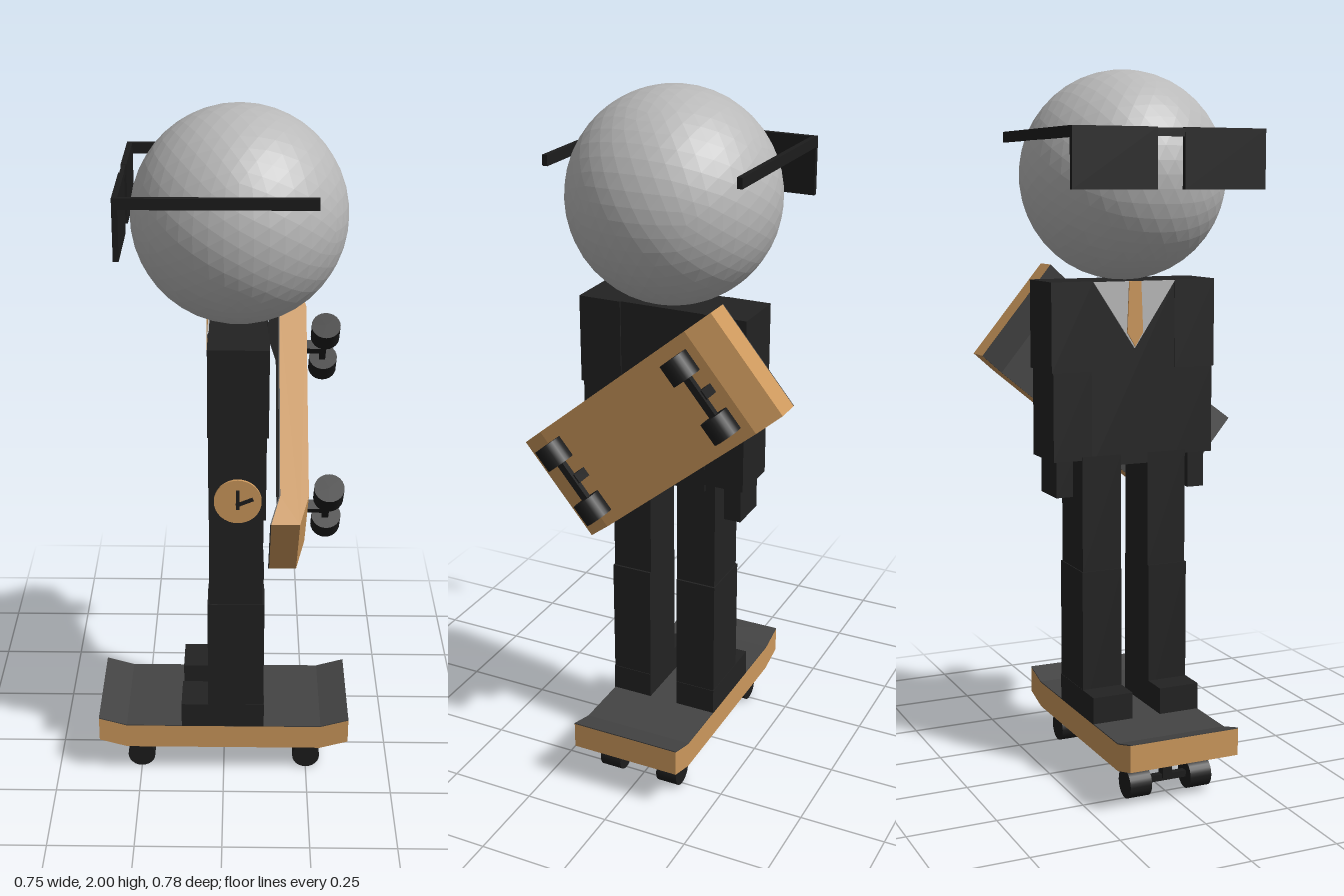
import * as THREE from 'three';

const mat = (name, color) => {
  const m = new THREE.MeshStandardMaterial({ color });
  m.name = name;
  return m;
};

export function createModel() {
  const suit = mat('suit black', 0x222222);
  const black = mat('trim black', 0x1c1c1c);
  const wood = mat('wood tan', 0xcc985c);
  const grip = mat('grip grey', 0x444444);
  const pale = mat('pale grey', 0xb9b9b9);
  pale.flatShading = true;

  const model = new THREE.Group();
  model.name = 'skater';

  const add = (parent, name, geometry, material) => {
    const mesh = new THREE.Mesh(geometry, material);
    mesh.name = name;
    parent.add(mesh);
    return mesh;
  };
  // Box given by its limits on each axis
  const box = (parent, name, material, [x0, x1], [y0, y1], [z0, z1]) => {
    const g = new THREE.BoxGeometry(x1 - x0, y1 - y0, Math.abs(z1 - z0));
    g.translate((x0 + x1) / 2, (y0 + y1) / 2, (z0 + z1) / 2);
    return add(parent, name, g, material);
  };
  const extrude = (points, depth) => {
    const shape = new THREE.Shape(points.map(([x, y]) => new THREE.Vector2(x, y)));
    return new THREE.ExtrudeGeometry(shape, { depth, bevelEnabled: false });
  };

  // Skateboard with kicked ends, long axis on x, wheels down
  const makeBoard = (name) => {
    const board = new THREE.Group();
    board.name = name;
    const top = [[0.373, 0.2], [0.29, 0.176], [-0.29, 0.176], [-0.373, 0.2]];
    const bottom = [[-0.373, 0.124], [-0.29, 0.1], [0.29, 0.1], [0.373, 0.124]];
    add(board, 'deck', extrude([...top, ...bottom], 0.326).translate(0, 0, -0.163), wood);
    const lifted = top.map(([x, y]) => [x, y + 0.003]).reverse();
    add(board, 'gripTape', extrude([...top, ...lifted], 0.326).translate(0, 0, -0.163), grip);
    for (const x of [-0.25, 0.25]) {
      box(board, 'truckPost', black, [x - 0.014, x + 0.014], [0.045, 0.102], [-0.014, 0.014]);
      box(board, 'axle', black, [x - 0.01, x + 0.01], [0.037, 0.055], [-0.07, 0.07]);
      for (const s of [-1, 1]) {
        const wheel = new THREE.CylinderGeometry(0.041, 0.041, 0.065, 24);
        wheel.rotateX(Math.PI / 2);
        add(board, 'wheel', wheel, black).position.set(x, 0.043, s * 0.092);
      }
    }
    model.add(board);
    return board;
  };
  makeBoard('riddenBoard');

  // Second board slung diagonally across the back, wheels outward
  const slung = makeBoard('backBoard');
  const a = 0.69;
  const along = new THREE.Vector3(0, Math.sin(a), -Math.cos(a));
  const up = new THREE.Vector3(-1, 0, 0);
  slung.setRotationFromMatrix(
    new THREE.Matrix4().makeBasis(along, up, along.clone().cross(up)));
  slung.position.set(0.329, 1.097, 0);

  // Legs, feet, arms and hands, mirrored across z
  for (const s of [-1, 1]) {
    const side = (n, m) => [s * n, s * m];
    box(model, 'foot', suit, [-0.125, 0.12], [0.177, 0.255], side(0.043, 0.164));
    box(model, 'lowerLeg', suit, [-0.046, 0.118], [0.178, 0.6], side(0.043, 0.163));
    box(model, 'upperLeg', suit, [-0.041, 0.112], [0.6, 0.93], side(0.042, 0.16));
    box(model, 'upperArm', suit, [-0.042, 0.122], [1.17, 1.42], side(0.125, 0.25));
    box(model, 'forearm', suit, [-0.04, 0.117], [0.92, 1.17], side(0.13, 0.245));
    box(model, 'hand', suit, [-0.02, 0.095], [0.815, 0.92], side(0.18, 0.23));
  }
  box(model, 'torso', suit, [-0.04, 0.118], [0.9, 1.42], [-0.13, 0.13]);

  // Shirt opening and tie on the chest, which faces -x
  const chest = (name, points, depth, material) => {
    const g = extrude(points, depth).rotateY(-Math.PI / 2);
    add(model, name, g, material).position.x = -0.04;
  };
  chest('shirt', [[0, 1.23], [0.125, 1.418], [-0.125, 1.418]], 0.004, pale);
  chest('tie', [[0, 1.235], [0.024, 1.275], [0.018, 1.418], [-0.018, 1.418], [-0.024, 1.275]],
    0.008, wood);

  // Head
  add(model, 'head', new THREE.IcosahedronGeometry(0.291, 7), pale).position.set(0.04, 1.709, 0);

  // Glasses held out in front of the face
  const glasses = new THREE.Group();
  glasses.name = 'glasses';
  model.add(glasses);
  box(glasses, 'bridge', black, [-0.273, -0.262], [1.808, 1.83], [-0.05, 0.05]);
  for (const s of [-1, 1]) {
    box(glasses, 'lens', black, [-0.275, -0.26], [1.67, 1.832], [s * 0.04, s * 0.282]);
    box(glasses, 'temple', black, [-0.262, 0.24], [1.803, 1.832], [s * 0.267, s * 0.282]);
  }

  // Round watch on the outer side of the left sleeve
  const watch = new THREE.Group();
  watch.name = 'watch';
  watch.position.set(0.04, 0.98, 0.245);
  model.add(watch);
  add(watch, 'watchFace', new THREE.CylinderGeometry(0.065, 0.065, 0.016, 32)
    .rotateX(Math.PI / 2), wood);
  box(watch, 'minuteHand', black, [-0.005, 0.005], [-0.022, 0.035], [0.008, 0.012]);
  const hour = box(watch, 'hourHand', black, [-0.005, 0.045], [-0.005, 0.005], [0.008, 0.012]);
  hour.position.y = -0.008;
  hour.rotation.z = 0.4;

  return model;
}
